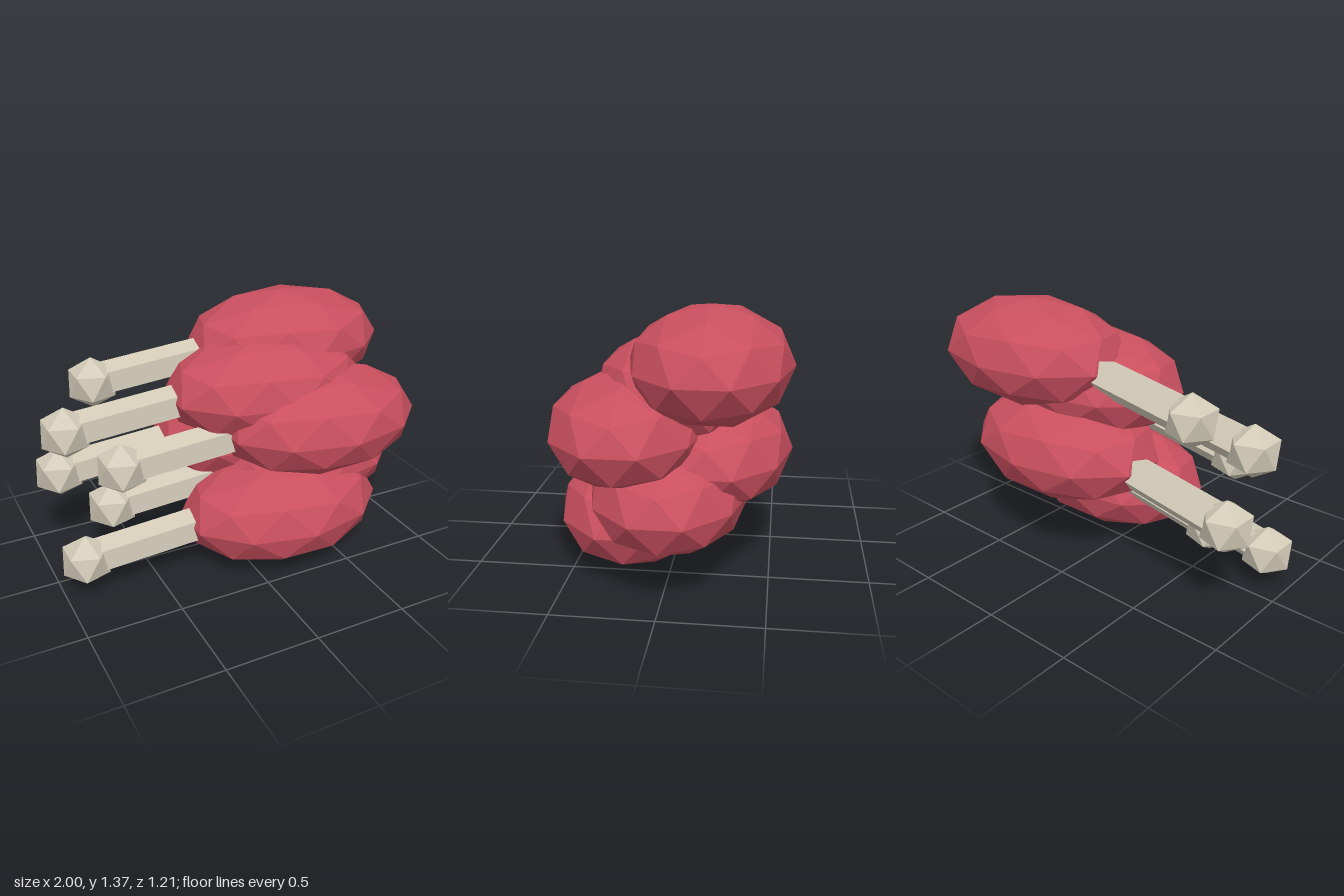
import * as THREE from 'three';

const meatMaterial = new THREE.MeshStandardMaterial({ color: 0xc94f5e, flatShading: true });
meatMaterial.name = 'red meat';
const boneMaterial = new THREE.MeshStandardMaterial({ color: 0xd3cbb8, flatShading: true });
boneMaterial.name = 'pale bone';

// Faceted ball with a corner straight up and an upper-ring corner towards +x
function facetedBall(detail, rx, ry, rz) {
  const g = new THREE.IcosahedronGeometry(1, detail);
  g.rotateX(-Math.atan((1 + Math.sqrt(5)) / 2));
  g.rotateY(Math.PI / 2);
  g.scale(rx, ry, rz);
  g.computeVertexNormals();
  return g;
}

const meatGeometry = facetedBall(1, 0.574, 0.285, 0.403);
const knobGeometry = facetedBall(0, 0.14, 0.14, 0.14);

// Five-sided shaft running along +x from the knob, flat side to the front
const shaftLength = 1.0;
const shaftGeometry = new THREE.CylinderGeometry(0.094, 0.094, shaftLength, 5);
shaftGeometry.rotateY(Math.PI); // corner to the back
shaftGeometry.rotateZ(-Math.PI / 2);
shaftGeometry.rotateX(-0.08);
shaftGeometry.translate(shaftLength / 2, 0, 0);

function createDrumstick() {
  const drumstick = new THREE.Group();
  drumstick.name = 'drumstick';

  const meat = new THREE.Mesh(meatGeometry, meatMaterial);
  meat.name = 'meat';

  const knob = new THREE.Mesh(knobGeometry, boneMaterial);
  knob.name = 'boneKnob';
  knob.position.set(-1.105, -0.095, -0.07);

  // Shaft rises slightly and leans forward towards the meat
  const shaft = new THREE.Mesh(shaftGeometry, boneMaterial);
  shaft.name = 'boneShaft';
  shaft.position.copy(knob.position);
  shaft.rotation.set(0, -0.075, 0.115);

  drumstick.add(meat, knob, shaft);
  return drumstick;
}

export function createModel() {
  const model = new THREE.Group();
  model.name = 'drumstickPile';

  // Pile: alternating in x, cycling front to back in z, rising evenly
  for (let i = 0; i < 6; i++) {
    const drumstick = createDrumstick();
    drumstick.position.set(i % 2 ? 0.452 : 0.232, 0.285 + 0.16 * i, 0.2 - 0.2 * (i % 3));
    model.add(drumstick);
  }
  return model;
}
